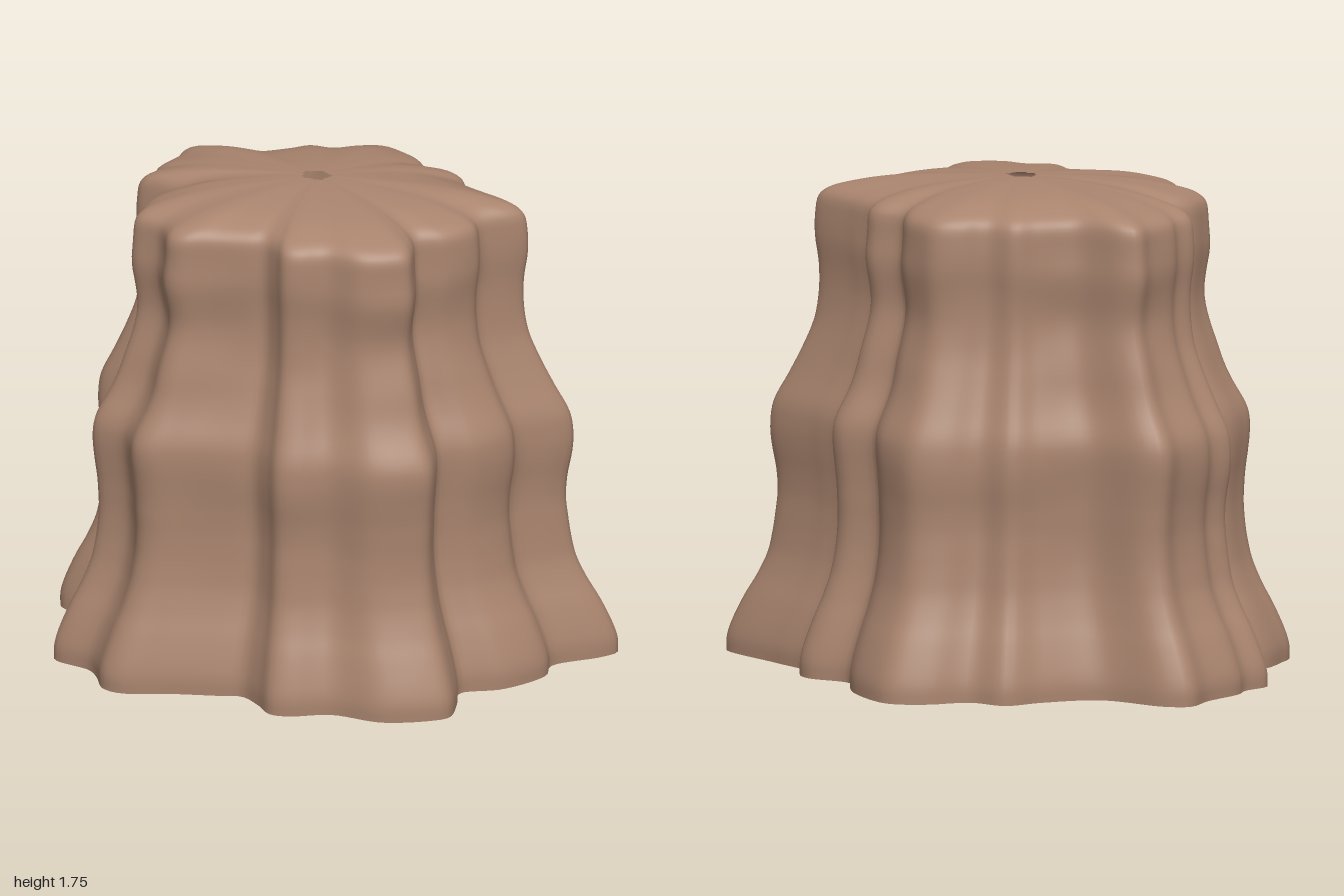
import * as THREE from 'three';

// Ground outline of the rock, as x, z pairs
const OUTLINE = [
  1.0, -0.06, 0.96, 0.0, 0.8, 0.12, 0.8, 0.21, 0.68, 0.36, 0.54, 0.43, 0.55, 0.52, 0.55, 0.65,
  0.5, 0.69, 0.33, 0.745, 0.14, 0.715, 0.0, 0.76, -0.07, 0.755, -0.13, 0.68, -0.2, 0.62,
  -0.28, 0.63, -0.46, 0.65, -0.62, 0.68, -0.69, 0.65, -0.73, 0.56, -0.77, 0.5, -0.91, 0.43,
  -0.91, 0.35, -0.89, 0.23, -0.8, 0.11, -0.82, 0.05, -0.98, -0.03, -0.995, -0.07, -0.945, -0.16,
  -0.945, -0.22, -0.88, -0.37, -0.855, -0.48, -0.77, -0.51, -0.52, -0.475, -0.34, -0.58,
  -0.235, -0.675, -0.1, -0.66, 0.03, -0.74, 0.14, -0.77, 0.2, -0.755, 0.33, -0.64, 0.38, -0.55,
  0.41, -0.47, 0.57, -0.44, 0.62, -0.39, 0.62, -0.32, 0.75, -0.23,
];

// Outline scale against height, from the ground to the small hole in the top
const PROFILE = [
  [1, 0], [0.999, 0.05], [0.985, 0.1], [0.94, 0.2], [0.895, 0.28], [0.86, 0.36], [0.845, 0.43],
  [0.835, 0.5], [0.827, 0.58], [0.832, 0.66], [0.848, 0.75], [0.852, 0.82], [0.84, 0.9],
  [0.79, 1.0], [0.742, 1.1], [0.703, 1.2], [0.688, 1.3], [0.688, 1.4], [0.701, 1.5],
  [0.7, 1.58], [0.688, 1.64], [0.655, 1.67], [0.58, 1.695], [0.46, 1.72], [0.2, 1.743], [0.055, 1.748],
];

const CENTRE = { x: -0.06, z: 0.03 };

function rockShell() {
  const points = [];
  for (let i = 0; i < OUTLINE.length; i += 2) points.push(new THREE.Vector3(OUTLINE[i], 0, OUTLINE[i + 1]));
  const around = 240;
  const outline = new THREE.CatmullRomCurve3(points, true).getSpacedPoints(around).slice(0, around);
  const profile = new THREE.CatmullRomCurve3(PROFILE.map(([s, y]) => new THREE.Vector3(s, y, 0)))
    .getPoints((PROFILE.length - 1) * 4);

  const positions = [];
  for (const { x: scale, y } of profile) {
    const height = Math.min(1, y / 1.3);
    const fade = THREE.MathUtils.clamp((1.66 - y) / 0.15, 0, 1);
    for (const p of outline) {
      const dx = p.x - CENTRE.x;
      const dz = p.z - CENTRE.z;
      // Extra strata ripples on the diagonal corners
      const corner = Math.sin(2 * Math.atan2(dz, dx)) ** 2;
      const s = scale + 0.009 * corner * fade * height * Math.cos((y - 0.05) / 0.28 * Math.PI * 2);
      // The rear ridge leans in a little more than the rest
      const rear = 1 - 0.08 * height * THREE.MathUtils.smoothstep(-p.z, 0.45, 0.75);
      positions.push(CENTRE.x + dx * s, y, CENTRE.z + dz * s * rear);
    }
  }

  const index = [];
  for (let j = 0; j < profile.length - 1; j++) {
    for (let i = 0; i < around; i++) {
      const next = (i + 1) % around;
      const a = j * around + i, b = j * around + next;
      const c = a + around, d = b + around;
      index.push(a, c, b, b, c, d);
    }
  }
  const geometry = new THREE.BufferGeometry();
  geometry.setAttribute('position', new THREE.Float32BufferAttribute(positions, 3));
  geometry.setIndex(index);
  geometry.computeVertexNormals();
  return geometry;
}

export function createModel() {
  const group = new THREE.Group();
  group.name = 'rockMesa';
  // Open shell, seen from inside through the bottom
  const sandstone = new THREE.MeshStandardMaterial({ color: 0xa9846e, side: THREE.DoubleSide });
  sandstone.name = 'sandstone';
  const rock = new THREE.Mesh(rockShell(), sandstone);
  rock.name = 'rockShell';
  group.add(rock);
  return group;
}
